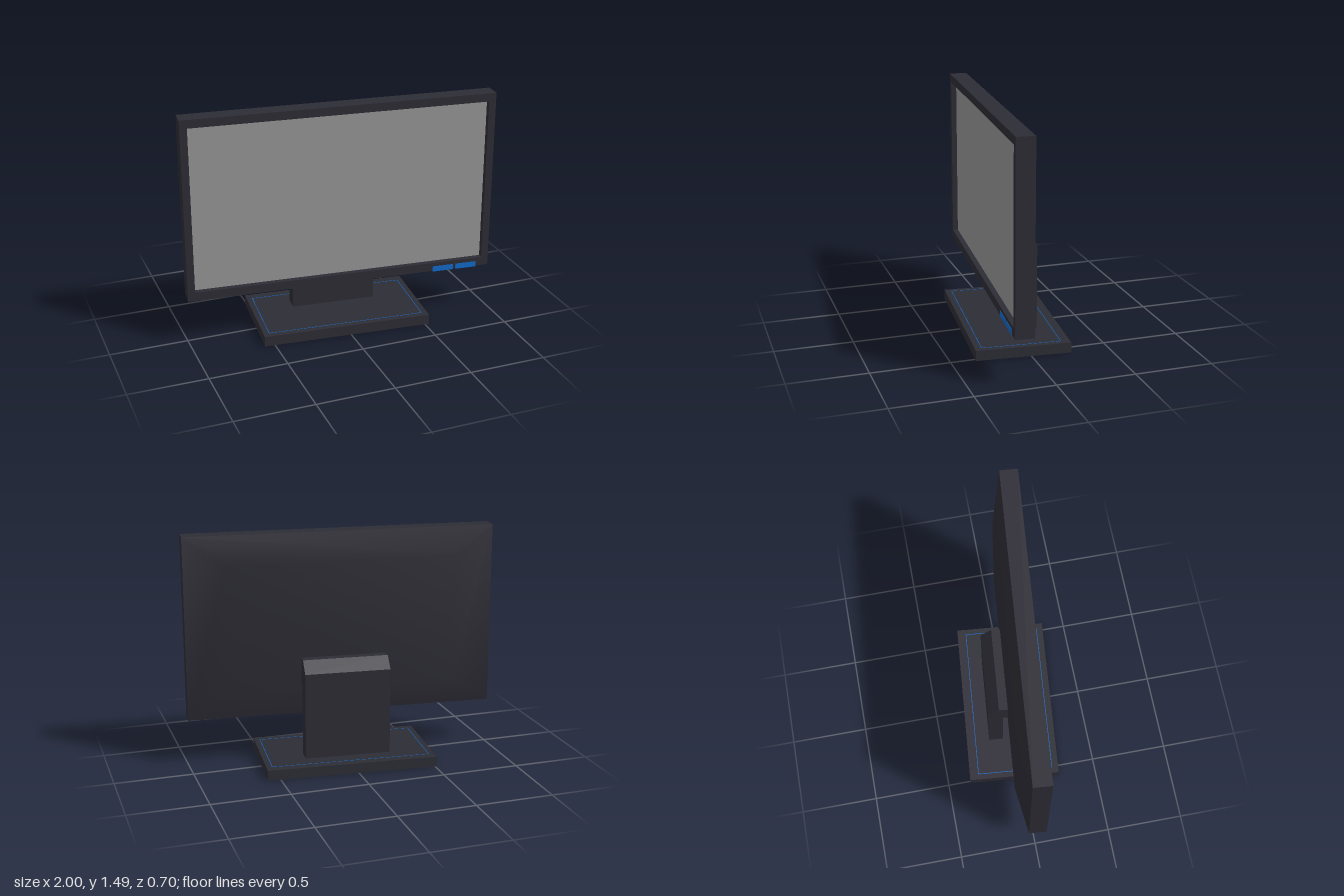
import * as THREE from 'three';

const material = (name, color) => {
  const m = new THREE.MeshStandardMaterial({ color });
  m.name = name;
  return m;
};

const rectangle = (Type, x0, y0, x1, y1) => new Type([
  new THREE.Vector2(x0, y0), new THREE.Vector2(x1, y0),
  new THREE.Vector2(x1, y1), new THREE.Vector2(x0, y1),
]);

// Rectangular ring extruded along z
function ring(outer, inner, depth) {
  const shape = rectangle(THREE.Shape, ...outer);
  shape.holes.push(rectangle(THREE.Path, ...inner));
  return new THREE.ExtrudeGeometry(shape, { depth, bevelEnabled: false });
}

// Shallow, softly shaded frustum that closes the back of the casing
function backShell(front, zFront, back, zBack) {
  const corners = ([x0, y0, x1, y1], z) => [x0, y0, z, x1, y0, z, x1, y1, z, x0, y1, z];
  const index = [4, 7, 6, 4, 6, 5];
  for (let i = 0; i < 4; i++) {
    const j = (i + 1) % 4;
    index.push(i, i + 4, j + 4, i, j + 4, j);
  }
  const g = new THREE.BufferGeometry();
  g.setAttribute('position', new THREE.Float32BufferAttribute(
    [...corners(front, zFront), ...corners(back, zBack)], 3));
  g.setIndex(index);
  g.computeVertexNormals();
  return g;
}

export function createModel() {
  const plastic = material('charcoal plastic', 0x2d2c35);
  const glass = material('grey screen', 0x959595);
  const blue = material('blue accent', 0x1068c8);

  const model = new THREE.Group();
  model.name = 'monitor';
  // The whole monitor is turned slightly about the vertical axis
  const turned = new THREE.Group();
  turned.name = 'turnedMonitor';
  turned.rotation.y = -0.0907;
  model.add(turned);

  const add = (name, geometry, mat, x = 0, y = 0, z = 0) => {
    const mesh = new THREE.Mesh(geometry, mat);
    mesh.name = name;
    mesh.position.set(x, y, z);
    turned.add(mesh);
    return mesh;
  };
  const cx = 0.008;

  // Casing with a recessed screen
  const casing = [-0.9985, 0.31, 0.9985, 1.493];
  add('bezel', ring(casing, [-0.952, 0.367, 0.952, 1.44], 0.115), plastic, cx, 0, 0.045);
  add('screen', new THREE.BoxGeometry(1.91, 1.08, 0.008), glass, cx, 0.9035, 0.121);
  add('backShell', backShell(casing, 0.045, [-0.733, 0.483, 0.733, 1.32], -0.023), plastic, cx);

  // Buttons wrapped around the lower front edge
  for (const x of [0.692, 0.85]) {
    add('button', new THREE.BoxGeometry(0.141, 0.036, 0.054), blue, x, 0.324, 0.136);
  }

  // Stand column: side profile (z, y) with a hook at the top
  const profile = [[-0.055, 0.06], [-0.055, 0.54], [-0.021, 0.54], [-0.021, 0.7],
    [-0.08, 0.7], [-0.151, 0.625], [-0.151, 0.06]];
  const column = new THREE.ExtrudeGeometry(
    new THREE.Shape(profile.map(([z, y]) => new THREE.Vector2(z, y))),
    { depth: 0.552, bevelEnabled: false });
  column.translate(0, 0, -0.276).rotateY(-Math.PI / 2);
  add('standColumn', column, plastic, cx);

  // Base plate with a fine inlaid line
  add('base', new THREE.BoxGeometry(1.095, 0.066, 0.602), plastic, cx, 0.033, -0.003);
  const inlay = ring([-0.512, -0.252, 0.512, 0.252], [-0.508, -0.248, 0.508, 0.248], 0.002);
  inlay.rotateX(-Math.PI / 2);
  add('baseInlay', inlay, blue, cx, 0.0647, 0.005);

  return model;
}
